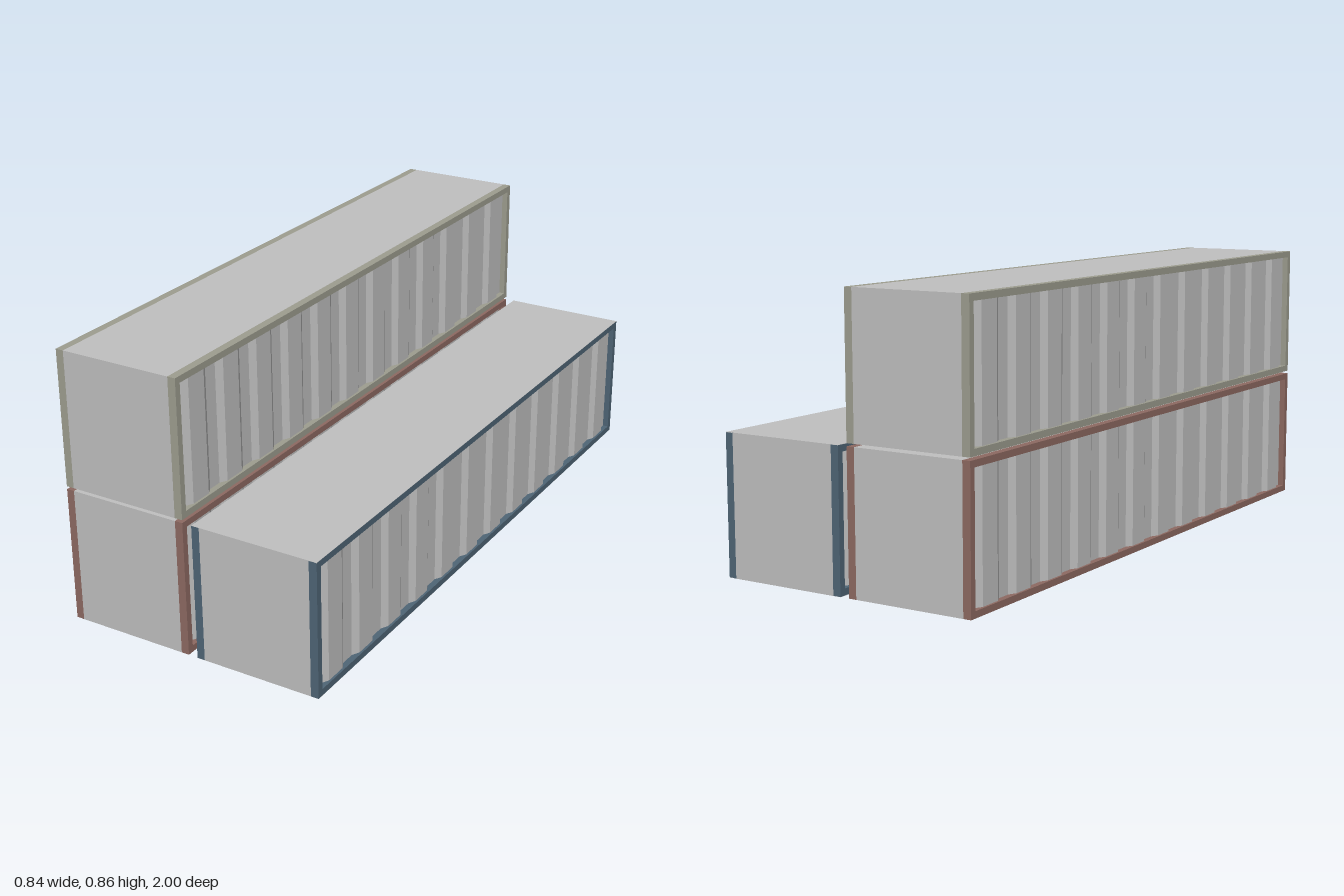
import * as THREE from 'three';

const W = 0.405, H = 0.424, L = 2, F = 0.025, R = 0.02; // container size, frame width, rail height

const mat = (name, color) => {
  const m = new THREE.MeshStandardMaterial({ color });
  m.name = name;
  return m;
};

export function createModel() {
  const grey = mat('panel grey', 0xc0c0c0);
  const rust = mat('rust frame', 0x8e6a62);
  const blue = mat('blue frame', 0x4f6576);
  const beige = mat('beige frame', 0x9e9e90);

  const add = (group, name, geometry, material, x = 0, y = 0, z = 0) => {
    const mesh = new THREE.Mesh(geometry, material);
    mesh.name = name;
    mesh.position.set(x, y, z);
    group.add(mesh);
    return mesh;
  };

  // Corrugated wall: trapezoid ribs extruded upwards
  const inner = L - 2 * R, ribs = 12, pitch = inner / ribs;
  const profile = new THREE.Shape();
  profile.moveTo(-inner / 2, 0);
  profile.lineTo(-inner / 2, 0.006);
  for (let i = 0; i < ribs; i++) {
    const z = -inner / 2 + i * pitch;
    profile.lineTo(z + pitch * 0.14, 0.006);
    profile.lineTo(z + pitch * 0.28, 0.018);
    profile.lineTo(z + pitch * 0.72, 0.018);
    profile.lineTo(z + pitch * 0.86, 0.006);
  }
  profile.lineTo(inner / 2, 0.006);
  profile.lineTo(inner / 2, 0);
  const wallGeo = new THREE.ExtrudeGeometry(profile, { depth: H - 2 * R, bevelEnabled: false });
  wallGeo.rotateX(-Math.PI / 2);

  const bodyGeo = new THREE.BoxGeometry(W - 2 * F, H, L);
  const postGeo = new THREE.BoxGeometry(F, H, R);
  const railGeo = new THREE.BoxGeometry(F, R, inner);
  const skinGeo = new THREE.BoxGeometry(W, 0.001, L);

  const container = (name, frame, x, y, fullSkin) => {
    const g = new THREE.Group();
    g.name = name;
    g.position.set(x, y, 0);
    // Roof, floor and both ends
    add(g, 'body', bodyGeo, grey, 0, H / 2, 0);
    for (const s of [-1, 1]) {
      const fx = s * (W / 2 - F / 2);
      for (const e of [-1, 1]) {
        add(g, 'cornerPost', postGeo, frame, fx, H / 2, e * (L / 2 - R / 2));
      }
      add(g, 'bottomRail', railGeo, frame, fx, R / 2, 0);
      add(g, 'topRail', railGeo, frame, fx, H - R / 2, 0);
      const wall = add(g, 'corrugatedWall', wallGeo, grey, s * (W / 2 - F), R, 0);
      wall.rotation.y = -s * Math.PI / 2;
    }
    // Sheets that cover the rails from above and below
    if (fullSkin) {
      add(g, 'roofSheet', skinGeo, grey, 0, H, 0);
      add(g, 'floorSheet', skinGeo, grey, 0, 0.0005, 0).position.y = 0;
    }
    return g;
  };

  const model = new THREE.Group();
  model.name = 'containerStack';
  model.add(
    container('rustContainer', rust, -0.2175, 0, false),
    container('beigeContainer', beige, -0.2175, 0.433, false),
    container('blueContainer', blue, 0.2175, 0, true),
  );
  return model;
}
